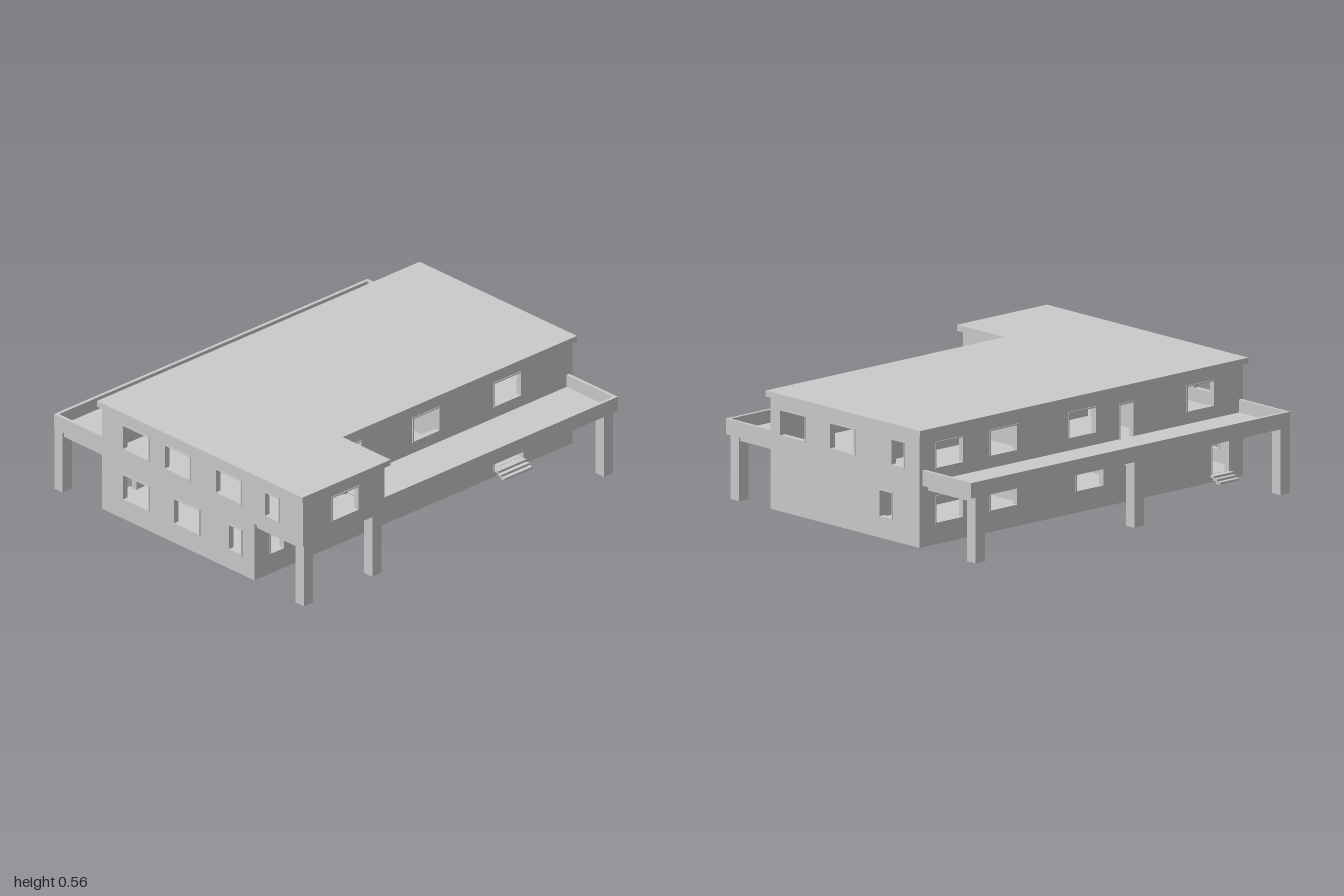
import * as THREE from 'three';

// Double sided because the posts are open below
const plaster = new THREE.MeshStandardMaterial({ color: 0xcacaca, side: THREE.DoubleSide });
plaster.name = 'grey plaster';

const T = 0.02;                       // wall thickness
const LOW = [0.12, 0.24];             // ground floor window heights
const UP = [0.373, 0.487];            // upper floor window heights
const DOOR_LOW = [0.055, 0.217];
const DOOR_UP = [0.307, 0.472];

const rect = (u0, u1, v0, v1) => [[u0, v0], [u1, v0], [u1, v1], [u0, v1]];
const toPoints = (list) => list.map(([u, v]) => new THREE.Vector2(u, v));

export function createModel() {
  const model = new THREE.Group();
  model.name = 'house';

  function add(name, geometry) {
    const mesh = new THREE.Mesh(geometry, plaster);
    mesh.name = name;
    model.add(mesh);
  }

  function box(name, x0, x1, y0, y1, z0, z1) {
    const g = new THREE.BoxGeometry(x1 - x0, y1 - y0, z1 - z0);
    g.translate((x0 + x1) / 2, (y0 + y1) / 2, (z0 + z1) / 2);
    add(name, g);
  }

  // Upright panel with openings; it reaches from pos - depth to pos along the axis
  function panel(name, axis, pos, depth, outline, holes) {
    const shape = new THREE.Shape(toPoints(outline));
    for (const h of holes) shape.holes.push(new THREE.Path(toPoints(rect(...h)).reverse()));
    const g = new THREE.ExtrudeGeometry(shape, { depth, bevelEnabled: false });
    if (axis === 'x') g.rotateY(-Math.PI / 2).translate(pos, 0, 0);
    else g.translate(0, 0, pos - depth);
    add(name, g);
  }

  // Wall with a slightly raised frame in every opening
  function wall(name, axis, pos, outline, openings) {
    panel(name, axis, pos, T, outline, openings);
    const b = 0.006;
    for (const [u0, u1, v0, v1] of openings) {
      panel(name + 'Frame', axis, pos + 0.004, T + 0.008, rect(u0 - b, u1 + b, v0 - b, v1 + b),
        [[u0, u1, v0, v1]]);
    }
  }

  // Level slab from an x, z outline
  function slab(name, y0, y1, outline) {
    const shape = new THREE.Shape(toPoints(outline.map(([x, z]) => [x, -z])));
    const g = new THREE.ExtrudeGeometry(shape, { depth: y1 - y0, bevelEnabled: false });
    g.rotateX(-Math.PI / 2).translate(0, y0, 0);
    add(name, g);
  }

  const ell = (x0, x1, x2, z0, z1, z2) =>
    [[x0, z2], [x2, z2], [x2, z1], [x1, z1], [x1, z0], [x0, z0]];

  // Roof and floors; the ground floor sits above the foot of the walls
  slab('roof', 0.535, 0.563, ell(-0.513, 0.507, 0.818, -1, 0.453, 1));
  slab('upperFloor', 0.303, 0.309, ell(-0.49, 0.475, 0.79, -0.98, 0.485, 0.97));
  box('groundFloor', -0.49, 0.475, 0.05, 0.056, -0.98, 0.97);

  // Outer walls
  wall('frontWall', 'z', 0.98,
    [[-0.5, 0.02], [0.485, 0.02], [0.485, 0.303], [0.802, 0.303], [0.802, 0.54], [-0.5, 0.54]], [
      [-0.36, -0.2, ...LOW], [-0.03, 0.13, ...LOW], [0.325, 0.402, ...LOW],
      [-0.36, -0.2, ...UP], [-0.09, 0.07, ...UP], [0.24, 0.4, ...UP], [0.56, 0.643, ...UP],
    ]);
  wall('backWall', 'z', -0.972, rect(-0.5, 0.485, 0.02, 0.54), [
    [-0.32, -0.24, ...LOW],
    [-0.4, -0.32, ...UP], [-0.075, 0.085, ...UP], [0.255, 0.415, ...UP],
  ]);
  wall('leftWall', 'x', 0.485,
    [[-0.992, 0.02], [0.98, 0.02], [0.98, 0.303], [0.475, 0.303], [0.475, 0.54], [-0.992, 0.54]], [
      [0.8, 0.88, ...LOW], [0.555, 0.635, ...LOW], [0.32, 0.395, ...LOW], [-0.165, -0.005, ...LOW],
      [-0.685, -0.51, 0.055, 0.296],
      [0.32, 0.395, ...UP], [-0.165, -0.005, ...UP], [-0.67, -0.51, ...UP],
    ]);
  wall('rightWall', 'x', -0.48, rect(-0.992, 0.98, 0.02, 0.54), [
    [-0.89, -0.73, ...LOW], [-0.56, -0.4, ...LOW], [-0.035, 0.125, ...LOW],
    [0.79, 0.89, ...DOOR_LOW],
    [-0.89, -0.73, ...UP], [-0.56, -0.4, ...UP], [-0.08, 0.08, ...UP],
    [0.23, 0.31, ...DOOR_UP], [0.64, 0.8, ...UP],
  ]);
  wall('wingSideWall', 'x', 0.802, rect(0.475, 0.98, 0.303, 0.54), [[0.64, 0.8, ...UP]]);
  wall('wingBackWall', 'z', 0.495, rect(0.475, 0.802, 0.303, 0.54), [[0.56, 0.65, ...DOOR_UP]]);

  // Inner partitions with doorways
  panel('hallPartition', 'z', 0.44, T, rect(-0.49, 0.475, 0.046, 0.54),
    [[-0.05, 0.01, ...DOOR_LOW], [-0.1, 0.015, ...DOOR_UP]]);
  panel('rearPartition', 'z', -0.17, T, rect(-0.49, 0.475, 0.046, 0.54), []);
  panel('longPartition', 'x', -0.05, T, rect(-0.98, 0.43, 0.05, 0.54),
    [[-0.035, 0.06, ...DOOR_LOW]]);

  // Shallow entrance lobby behind the wide side opening
  panel('lobbyBack', 'x', 0.44, 0.01, rect(-0.7, -0.495, 0.05, 0.305), []);
  for (const z of [-0.69, -0.495]) box('lobbySide', 0.43, 0.47, 0.05, 0.305, z - 0.01, z);

  // Balconies: floor, parapet and outer side at x = far, house wall at x = near
  function balcony(name, near, far, z0, z1, frontRail) {
    const p = 0.016;
    const a = Math.min(near, far), b = Math.max(near, far);
    const edge = far > near ? far - p : far;
    box(name + 'Floor', a, b, 0.303, 0.315, z0, z1);
    box(name + 'SideRail', edge, edge + p, 0.303, 0.375, z0, z1);
    box(name + 'BackRail', a, b, 0.303, 0.375, z0, z0 + p);
    if (frontRail) box(name + 'FrontRail', a, b, 0.303, 0.375, z1 - p, z1);
  }
  balcony('leftBalcony', 0.485, 0.801, -0.972, 0.475, false);
  balcony('rightBalcony', -0.5, -0.821, -0.972, 0.971, true);

  // Hollow square post, open below, with a cross beam back to the house
  function post(side, x, z, wallX) {
    const w = 0.054, d = 0.058;
    let g = new THREE.CylinderGeometry(Math.SQRT1_2, Math.SQRT1_2, 0.304, 4, 1, true);
    g = g.rotateY(Math.PI / 4).scale(w, 1, d).translate(x, 0.152, z).toNonIndexed();
    g.computeVertexNormals();
    add(side + 'Post', g);
    const inner = x - Math.sign(x) * w / 2;
    box(side + 'Beam', Math.min(inner, wallX), Math.max(inner, wallX), 0.277, 0.304,
      z - 0.022, z + 0.022);
  }
  for (const z of [0.941, 0.517, -0.918]) post('left', 0.769, z, 0.48);
  for (const z of [0.94, 0.05, -0.918]) post('right', -0.794, z, -0.495);

  // Entrance steps: overlapping treads rising to the doors
  for (let i = 0; i < 3; i++) {
    const y0 = 0.022 + i * 0.011;
    const out = 0.064 - i * 0.02;
    const back = Math.max(out - 0.026, 0);
    box('leftStep', 0.485 + back, 0.485 + out, y0, y0 + 0.011, -0.685, -0.51);
    box('rightStep', -0.5 - out, -0.5 - back, y0, y0 + 0.011, 0.78, 0.9);
  }

  return model;
}
